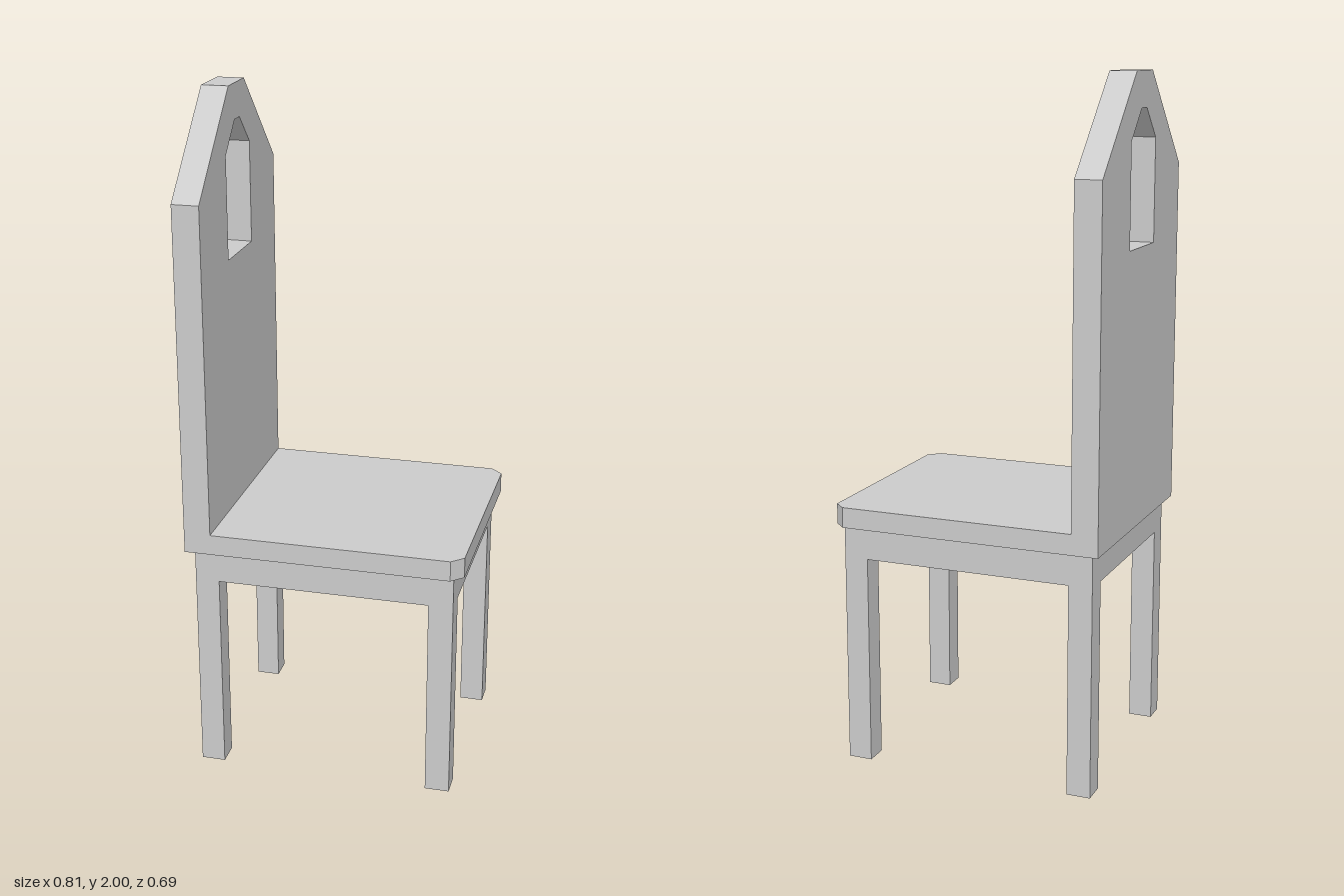
import * as THREE from 'three';

const material = new THREE.MeshStandardMaterial({ color: 0xcccccc, flatShading: true });

const outline = (points) => points.map(([a, b]) => new THREE.Vector2(a, b));

function addMesh(parent, geometry, name) {
  const mesh = new THREE.Mesh(geometry, material);
  mesh.name = name;
  parent.add(mesh);
  return mesh;
}

// Box given by its minimum and maximum corners
function addBox(parent, name, [x0, y0, z0], [x1, y1, z1]) {
  const mesh = addMesh(parent, new THREE.BoxGeometry(x1 - x0, y1 - y0, z1 - z0), name);
  mesh.position.set((x0 + x1) / 2, (y0 + y1) / 2, (z0 + z1) / 2);
}

export function createModel() {
  const chair = new THREE.Group();
  chair.name = 'chair';

  const seatBottom = 0.715, seatTop = 0.775;
  const halfX = 0.404, halfZ = 0.343;

  // Seat slab with clipped corners on the sitter's side (+x)
  const seatShape = new THREE.Shape(outline([
    [-halfX, -halfZ], [0.37, -halfZ], [halfX, -0.31],
    [halfX, 0.31], [0.37, halfZ], [-halfX, halfZ],
  ]));
  const seat = new THREE.ExtrudeGeometry(seatShape, { depth: seatTop - seatBottom, bevelEnabled: false });
  seat.rotateX(-Math.PI / 2).translate(0, seatBottom, 0);
  addMesh(chair, seat, 'seat');

  // Tall gabled backrest with a matching window
  const backShape = new THREE.Shape(outline([
    [-halfZ, seatTop], [halfZ, seatTop], [halfZ, 1.73],
    [0.07, 2], [-0.07, 2], [-halfZ, 1.73],
  ]));
  backShape.holes.push(new THREE.Path(outline([
    [-0.108, 1.52], [-0.108, 1.815], [-0.022, 1.9],
    [0.022, 1.9], [0.108, 1.815], [0.108, 1.52],
  ])));
  const back = new THREE.ExtrudeGeometry(backShape, { depth: 0.078, bevelEnabled: false });
  back.rotateY(Math.PI / 2).translate(-halfX, 0, 0);
  addMesh(chair, back, 'backrest');

  // Square legs; the pair on the +z side is slightly shorter
  const legX = [[-0.381, -0.311], [0.305, 0.376]];
  const legZ = [[-0.319, -0.25, 0], [0.25, 0.319, 0.02]];
  for (const [x0, x1] of legX) {
    for (const [z0, z1, foot] of legZ) {
      addBox(chair, 'leg', [x0, foot, z0], [x1, seatBottom, z1]);
    }
  }

  // Apron rails between the legs, flush with their outer faces
  const railBottom = 0.62, t = 0.04;
  addBox(chair, 'sideRail', [-0.311, railBottom, 0.319 - t], [0.305, seatBottom, 0.319]);
  addBox(chair, 'sideRail', [-0.311, railBottom, -0.319], [0.305, seatBottom, -0.319 + t]);
  addBox(chair, 'endRail', [0.376 - t, railBottom, -0.25], [0.376, seatBottom, 0.25]);
  addBox(chair, 'endRail', [-0.381, railBottom, -0.25], [-0.381 + t, seatBottom, 0.25]);

  return chair;
}
